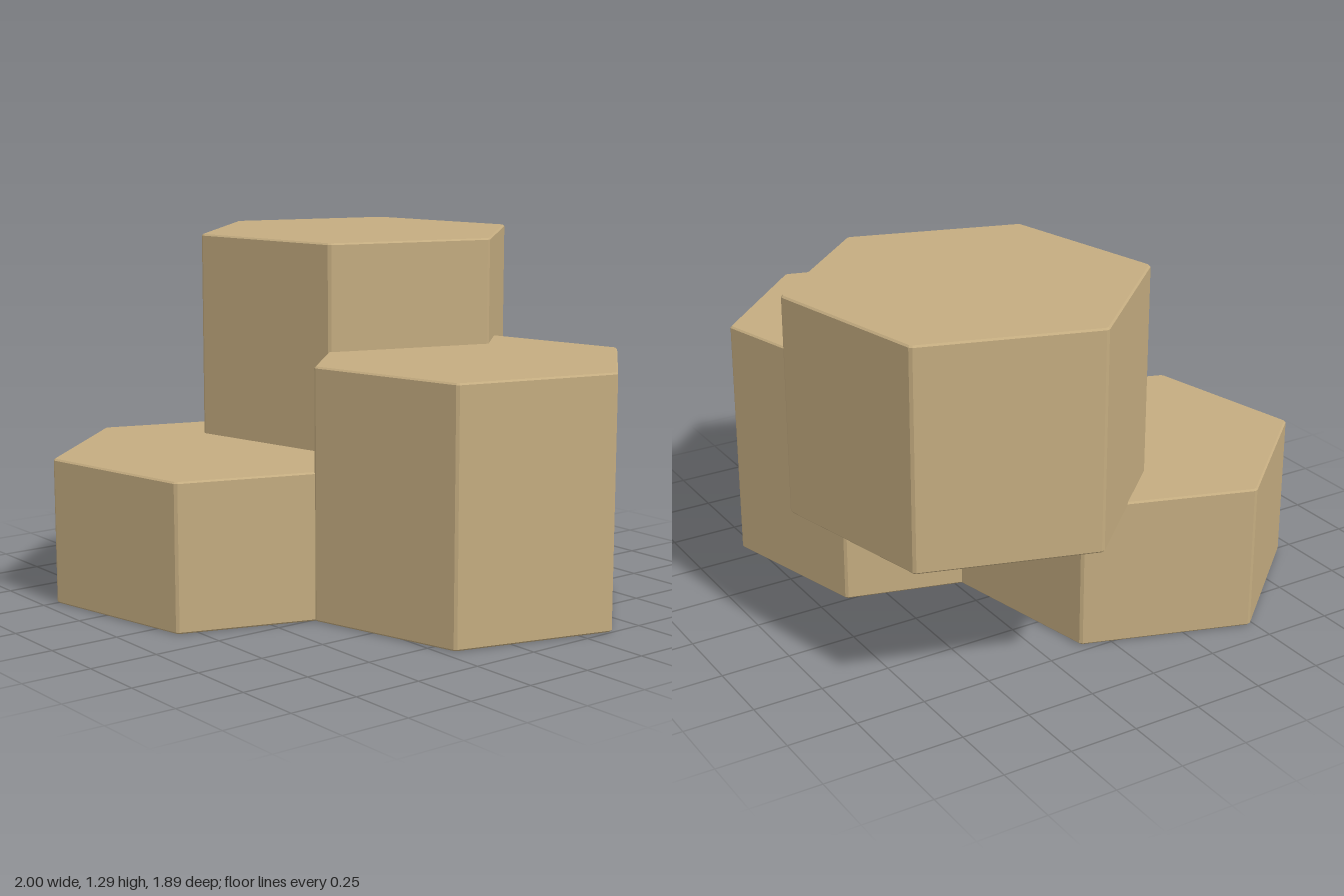
import * as THREE from 'three';

const stone = new THREE.MeshStandardMaterial({ color: 0xc4ac80 });
stone.name = 'sandstone';

// Hexagonal column with a hairline chamfer on every edge
function column(name, x, z, radius, turn, bottom, top) {
  const bevel = 0.006;
  const corners = [];
  for (let i = 0; i < 6; i++) {
    const a = THREE.MathUtils.degToRad(turn + i * 60);
    corners.push(new THREE.Vector2(Math.cos(a), Math.sin(a)).multiplyScalar(radius));
  }
  const outline = [];
  corners.forEach((c, i) => {
    const before = corners[(i + 5) % 6];
    const after = corners[(i + 1) % 6];
    outline.push(c.clone().lerp(before, 0.012), c.clone().lerp(after, 0.012));
  });
  const geometry = new THREE.ExtrudeGeometry(new THREE.Shape(outline), {
    depth: top - bottom - 2 * bevel,
    bevelEnabled: true,
    bevelThickness: bevel,
    bevelSize: bevel,
    bevelOffset: -bevel,
    bevelSegments: 1,
  });
  geometry.rotateX(-Math.PI / 2);
  geometry.translate(0, bevel, 0);
  const mesh = new THREE.Mesh(geometry, stone);
  mesh.name = name;
  mesh.position.set(x, bottom, z);
  return mesh;
}

export function createModel() {
  const group = new THREE.Group();
  group.name = 'hexagonalRockColumns';
  group.add(
    column('upperColumn', -0.39, -0.352, 0.626, 12.5, 0.517, 1.292),
    column('middleColumn', 0.422, -0.22, 0.595, 14.5, 0, 0.902),
    column('lowColumn', -0.305, 0.358, 0.619, 11.5, 0, 0.532),
  );
  return group;
}
